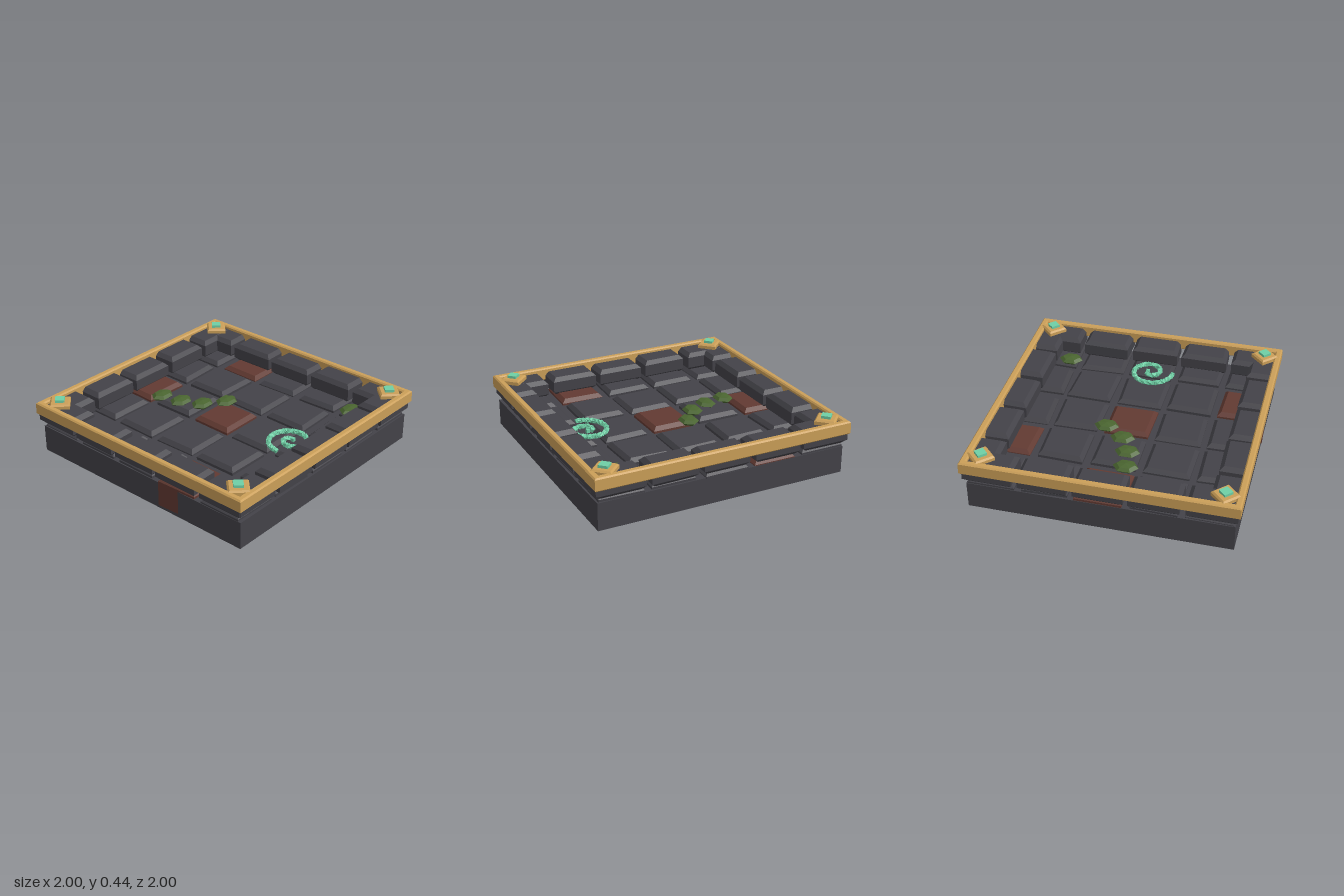
import * as THREE from 'three';

const mat = (name, color) => {
  const m = new THREE.MeshStandardMaterial({ color });
  m.name = name;
  return m;
};

export function createModel() {
  const stone = mat('dark stone', 0x434248);
  const brick = mat('red stone', 0x623a32);
  const gold = mat('gold', 0xcb9f58);
  const jade = mat('jade', 0x6fcfa5);
  const moss = mat('moss', 0x4a6530);
  const root = new THREE.Group();

  // Seeded jitter in the range -1 to 1
  let seed = 7;
  const jitter = () => {
    seed = (seed * 16807) % 2147483647;
    return (seed / 2147483647) * 2 - 1;
  };

  const add = (name, geo, material, x, y, z, parent = root) => {
    const mesh = new THREE.Mesh(geo, material);
    mesh.name = name;
    mesh.position.set(x, y, z);
    parent.add(mesh);
    return mesh;
  };
  const group = (name) => {
    const g = new THREE.Group();
    g.name = name;
    root.add(g);
    return g;
  };

  // Chamfered block standing on its own y = 0, with slightly uneven corners
  const block = (w, h, d, bevel, uneven = 0) => {
    const a = w / 2 - bevel, b = d / 2 - bevel;
    const pts = [[-a, -b], [a, -b], [a, b], [-a, b]].map(
      ([x, y]) => new THREE.Vector2(x + uneven * jitter(), y + uneven * jitter()));
    const geo = new THREE.ExtrudeGeometry(new THREE.Shape(pts), {
      depth: h - 2 * bevel, bevelEnabled: true, bevelSegments: 1,
      bevelSize: bevel, bevelThickness: bevel,
    });
    return geo.translate(0, 0, bevel).rotateX(-Math.PI / 2);
  };

  // Foundation slab
  add('slab', new THREE.BoxGeometry(1.93, 0.207, 1.935), stone, 0, 0.1065, 0.004);

  // Five by five paving stones, four of them red
  const red = ['2,0', '4,1', '2,2', '0,3'];
  const paving = group('paving');
  for (let i = 0; i < 5; i++) {
    for (let j = 0; j < 5; j++) {
      const isRed = red.includes(`${i},${j}`);
      const h = 0.252 + 0.008 * jitter();
      const x = (i - 2) * 0.393 + (isRed ? Math.sign(i - 2) * 0.008 : 0);
      add(isRed ? 'redPavingStone' : 'pavingStone', block(0.345, h, 0.335, 0.028, 0.008),
        isRed ? brick : stone, x, 0, (j - 2) * 0.393, paving);
    }
  }

  // Raised curb stones along all four sides
  const curb = group('curb');
  for (let side = 0; side < 4; side++) {
    const row = new THREE.Group();
    row.name = 'curbRow';
    row.rotation.y = side * Math.PI / 2;
    curb.add(row);
    for (let i = -2; i <= 2; i++) {
      add('curbStone', block(0.36, 0.145 + 0.006 * jitter(), 0.215, 0.03, 0.004),
        stone, i * 0.4, 0.235, 0.878, row);
    }
  }

  // Gold frame with chamfered edges
  const square = (r) => [[-r, -r], [r, -r], [r, r], [-r, r]].map(([x, y]) => new THREE.Vector2(x, y));
  const outline = new THREE.Shape(square(0.99));
  outline.holes.push(new THREE.Path(square(0.96).reverse()));
  const frame = new THREE.ExtrudeGeometry(outline, {
    depth: 0.08, bevelEnabled: true, bevelSegments: 1, bevelSize: 0.01, bevelThickness: 0.01,
  }).rotateX(-Math.PI / 2);
  add('frame', frame, gold, 0, 0.32, 0);

  // Corner ornaments: gold diamond plate with a jade inlay
  for (const x of [-0.873, 0.873]) {
    for (const z of [-0.873, 0.873]) {
      const corner = group('cornerOrnament');
      corner.position.set(x, 0, z);
      corner.rotation.y = Math.PI / 4;
      add('cornerPlate', block(0.15, 0.05, 0.15, 0.012), gold, 0, 0.37, 0, corner);
      add('cornerGem', new THREE.BoxGeometry(0.07, 0.03, 0.07), jade, 0, 0.425, 0, corner);
    }
  }

  // Faceted moss clumps
  const clump = new THREE.SphereGeometry(1, 6, 4).toNonIndexed();
  clump.computeVertexNormals();
  const patches = group('moss');
  for (const [x, z] of [[-0.1, -0.57], [-0.07, -0.4], [0.005, -0.245], [0.157, -0.13], [0.67, 0.67]]) {
    add('mossClump', clump, moss, x, 0.26, z, patches).scale.set(0.096, 0.03, 0.075);
  }

  // Jade spiral made of small tilted beads
  const spiral = group('spiral');
  const bead = new THREE.BoxGeometry(0.026, 0.026, 0.026);
  const beads = 76;
  for (let k = 0; k <= beads; k++) {
    const t = Math.sqrt(k / beads) * 0.98 + 0.02 * (k / beads);
    const angle = 2 * Math.PI - 3 * Math.PI * t;
    const r = 0.02 + 0.16 * t;
    add('spiralBead', bead, jade, r * Math.cos(angle), 0.273, 0.63 + r * Math.sin(angle), spiral)
      .rotation.set(0.5 * k, -angle, 0.7 * k);
  }

  return root;
}
